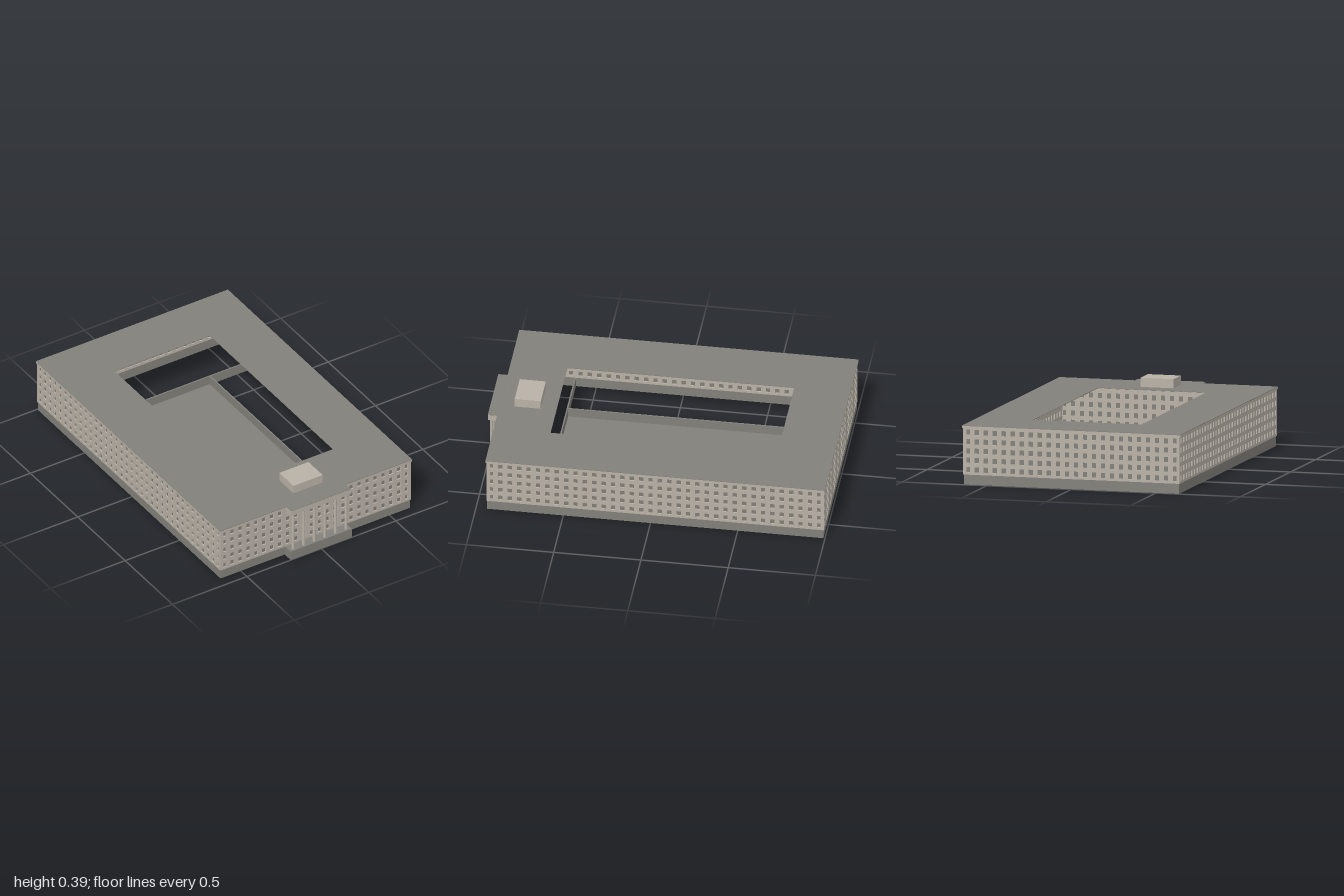
import * as THREE from 'three';

const stone = new THREE.MeshStandardMaterial({ color: 0xb8b1a6 });
stone.name = 'pale stone';
const grey = new THREE.MeshStandardMaterial({ color: 0x82807a });
grey.name = 'grey plinth and roof';
const glass = new THREE.MeshStandardMaterial({ color: 0x817e77 });
glass.name = 'window grey';

// Box given by its limits on each axis
function box(name, mat, x0, x1, y0, y1, z0, z1) {
  const m = new THREE.Mesh(new THREE.BoxGeometry(x1 - x0, y1 - y0, z1 - z0), mat);
  m.position.set((x0 + x1) / 2, (y0 + y1) / 2, (z0 + z1) / 2);
  m.name = name;
  return m;
}

function rect(Type, x0, x1, y0, y1) {
  const p = new Type();
  p.moveTo(x0, y0);
  p.lineTo(x1, y0);
  p.lineTo(x1, y1);
  p.lineTo(x0, y1);
  p.closePath();
  return p;
}

const BASE = 0.058, EAVE = 0.326, TOP = 0.34;
const X = 0.64, ZB = -0.995, ZF = 0.94, T = 0.02;

// Wall pierced by a grid of recessed windows; its outer face lies at local z = 0
function windowWall(name, length, columns) {
  const g = new THREE.Group();
  g.name = name;
  const shape = rect(THREE.Shape, -length / 2, length / 2, BASE, EAVE);
  const step = length / columns;
  for (let i = 0; i < columns; i++) {
    for (let j = 0; j < 5; j++) {
      const x = (i + 0.5) * step - length / 2, y = 0.087 + j * 0.0535;
      shape.holes.push(rect(THREE.Path, x - 0.0125, x + 0.0125, y - 0.015, y + 0.015));
    }
  }
  const wall = new THREE.Mesh(new THREE.ExtrudeGeometry(shape, { depth: T, bevelEnabled: false }), stone);
  wall.position.z = -T;
  wall.name = 'wall';
  g.add(wall, box('windowPanes', glass, -length / 2 + 0.01, length / 2 - 0.01, BASE + 0.005, EAVE - 0.005, -0.012, -0.008));
  return g;
}

// Horizontal slab with a rectangular opening; limits are [x0, x1, z0, z1]
function frame(name, mat, o, h, y0, y1) {
  const s = rect(THREE.Shape, o[0], o[1], -o[3], -o[2]);
  s.holes.push(rect(THREE.Path, h[0], h[1], -h[3], -h[2]));
  const geo = new THREE.ExtrudeGeometry(s, { depth: y1 - y0, bevelEnabled: false });
  geo.rotateX(-Math.PI / 2);
  const m = new THREE.Mesh(geo, mat);
  m.position.y = y0;
  m.name = name;
  return m;
}

export function createModel() {
  const model = new THREE.Group();
  model.name = 'courtyardBuilding';

  // Outer walls
  const midZ = (ZB + ZF) / 2, depth = ZF - ZB;
  const walls = [
    ['frontWall', 2 * X, 24, 0, ZF, 0],
    ['backWall', 2 * X, 24, 0, ZB, Math.PI],
    ['leftWall', depth, 36, X, midZ, Math.PI / 2],
    ['rightWall', depth, 36, -X, midZ, -Math.PI / 2],
  ];
  for (const [name, length, columns, x, z, turn] of walls) {
    const w = windowWall(name, length, columns);
    w.position.set(x, 0, z);
    w.rotation.y = turn;
    model.add(w);
  }

  // Plinth, cornice and roof around the courtyard opening
  const court = [-0.32, 0.32, -0.68, 0.62];
  const inner = [-X + T, X - T, ZB + T, ZF - T];
  model.add(
    frame('plinth', grey, [-0.636, 0.636, -0.991, 0.936], inner, 0, BASE),
    frame('cornice', stone, [-0.645, 0.645, -1, 0.945], inner, EAVE, TOP - 0.003),
    frame('roof', grey, [-0.645, 0.645, -1, 0.945], court, TOP - 0.003, TOP),
  );

  // Courtyard floor and the low foundation walls around it
  model.add(box('courtyardFloor', grey, -0.32, 0.32, 0, 0.004, -0.68, 0.62));
  for (const z of [-0.68, 0.62]) {
    model.add(box('crossFoundation', grey, -0.625, 0.625, 0, BASE, z - 0.004, z + 0.004));
  }
  for (const x of [-0.32, 0.32]) {
    model.add(box('longFoundation', grey, x - 0.004, x + 0.004, 0, BASE, -0.68, 0.62));
  }

  // Rooftop block
  model.add(box('rooftopBlock', stone, -0.098, 0.098, TOP, 0.392, 0.71, 0.86));

  // Entrance portico with six slender columns
  const portico = new THREE.Group();
  portico.name = 'portico';
  portico.add(
    box('porticoBase', grey, -0.205, 0.205, 0, BASE + 0.001, 0.93, 1),
    box('entablature', stone, -0.2, 0.2, 0.304, TOP - 0.002, 0.94, 0.998),
    box('porticoRoof', grey, -0.2, 0.2, TOP - 0.002, TOP + 0.0005, 0.94, 0.998),
  );
  const shaft = new THREE.CylinderGeometry(0.008, 0.0095, 0.304 - BASE, 12);
  for (let i = 0; i < 6; i++) {
    const c = new THREE.Mesh(shaft, stone);
    c.name = 'column';
    c.position.set(-0.178 + i * 0.0712, (0.304 + BASE) / 2, 0.98);
    portico.add(c);
  }
  model.add(portico);
  return model;
}
